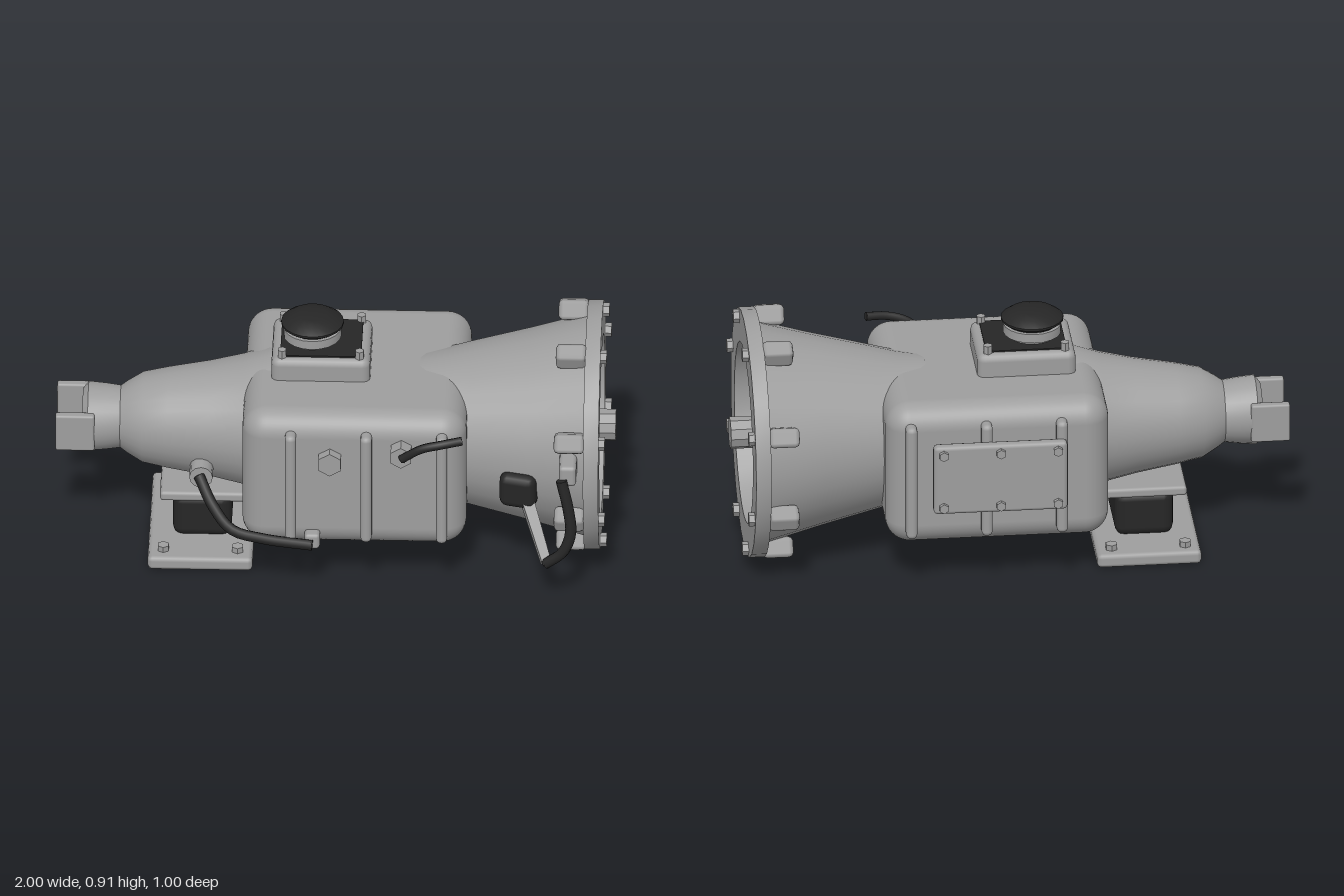
import * as THREE from 'three';
import { toCreasedNormals } from 'three/addons/utils/BufferGeometryUtils.js';
import { RoundedBoxGeometry } from 'three/addons/geometries/RoundedBoxGeometry.js';

export function createModel() {
  const root = new THREE.Group();
  root.name = 'gearbox';
  const metal = new THREE.MeshStandardMaterial({ color: 0x9e9e9e });
  metal.name = 'cast metal';
  const rubber = new THREE.MeshStandardMaterial({ color: 0x262626 });
  rubber.name = 'black rubber';
  const axisY = 0.463, axisZ = -0.01;
  const V = (p) => new THREE.Vector3(...p);

  function add(name, geo, mat = metal, pos = [0, 0, 0]) {
    const m = new THREE.Mesh(geo, mat);
    m.name = name;
    m.position.set(...pos);
    root.add(m);
    return m;
  }
  // Rounded block given by its min and max corners
  function block(name, a, b, r, mat = metal, seg = 1) {
    const s = a.map((v, i) => b[i] - v);
    return add(name, new RoundedBoxGeometry(...s, seg, r), mat, a.map((v, i) => (v + b[i]) / 2));
  }
  // Cylinder between two points
  function rod(name, a, b, r, sides, mat = metal, r2 = r) {
    const p = V(a), q = V(b), d = q.clone().sub(p);
    const geo = toCreasedNormals(new THREE.CylinderGeometry(r2, r, d.length(), sides), sides < 12 ? 0.4 : 0.7);
    const m = add(name, geo, mat, p.clone().add(q).multiplyScalar(0.5).toArray());
    m.quaternion.setFromUnitVectors(new THREE.Vector3(0, 1, 0), d.normalize());
    return m;
  }
  // Turned casting along the x axis, profile as [radius, x]
  function turned(name, pts) {
    const g = new THREE.LatheGeometry(pts.map((p) => new THREE.Vector2(...p)), 28);
    g.rotateZ(-Math.PI / 2);
    return add(name, toCreasedNormals(g, 0.6), metal, [0, axisY, axisZ]);
  }
  // Bent hose with closed ends
  function hose(name, pts, r) {
    const curve = new THREE.CatmullRomCurve3(pts.map(V), false, 'centripetal');
    add(name, new THREE.TubeGeometry(curve, 20, r, 8), rubber);
    [0, 1].forEach((t) => {
      const p = curve.getPoint(t), d = curve.getTangent(t).multiplyScalar(t ? 0.004 : -0.004);
      rod(name + 'End', p.toArray(), p.clone().add(d).toArray(), r, 8, rubber);
    });
  }

  // Main case, bell housing with recess, and tail housing
  block('case', [-0.325, 0.17, -0.415], [0.475, 0.715, 0.39], 0.088, metal, 5);
  turned('bellHousing', [[0.255, 0.3], [0.272, 0.4], [0.293, 0.48], [0.345, 0.69], [0.4, 0.895],
    [0.448, 0.895], [0.448, 0.95], [0.326, 0.95], [0.318, 0.78], [0, 0.78]]);
  turned('tailHousing', [[0, -0.905], [0.1, -0.905], [0.125, -0.885], [0.119, -0.82], [0.112, -0.77],
    [0.13, -0.745], [0.163, -0.69], [0.182, -0.6], [0.208, -0.45], [0.235, -0.33], [0.265, -0.24], [0.265, -0.2]]);
  rod('inputShaft', [0.77, axisY, axisZ], [1, axisY, axisZ], 0.058, 10);

  // Output yoke prongs
  [[-0.135, -0.1], [0.08, 0.115]].forEach(([z0, z1]) =>
    block('yokeProng', [-1, 0.39, z0], [-0.86, 0.535, z1], 0.008));

  // Flange bolts with bosses behind them
  for (let i = 0; i < 8; i++) {
    const t = (i + 0.5) * Math.PI / 4;
    const y = axisY + 0.416 * Math.cos(t), z = axisZ + 0.416 * Math.sin(t);
    rod('flangeBolt', [0.94, y, z], [0.972, y, z], 0.025, 6);
    const boss = block('flangeBoss', [0.79, y - 0.037, z - 0.035], [0.9, y + 0.037, z + 0.035], 0.016);
    boss.rotation.x = t;
  }

  // Case ribs, front and back
  [-0.15, 0.12, 0.39].forEach((x) => {
    block('frontRib', [x - 0.02, 0.22, 0.36], [x + 0.02, 0.66, 0.433], 0.018, metal, 2);
    block('backRib', [x - 0.02, 0.22, -0.455], [x + 0.02, 0.66, -0.38], 0.018, metal, 2);
  });

  // Bolted cover on the back
  block('sideCover', [-0.165, 0.33, -0.485], [0.315, 0.597, -0.44], 0.014);
  [-0.13, 0.075, 0.28].forEach((x) => [0.36, 0.567].forEach((y) =>
    rod('coverBolt', [x, y, -0.475], [x, y, -0.5], 0.018, 6)));

  // Shift tower with gasket, collar and cap
  block('shiftTower', [-0.228, 0.68, -0.17], [0.125, 0.8, 0.135], 0.028, metal, 2);
  add('towerGasket', new THREE.BoxGeometry(0.29, 0.008, 0.25), rubber, [-0.052, 0.801, -0.016]);
  [-0.19, 0.087].forEach((x) => [-0.138, 0.104].forEach((z) =>
    rod('towerBolt', [x, 0.79, z], [x, 0.828, z], 0.017, 6)));
  rod('collar', [-0.085, 0.8, -0.016], [-0.085, 0.825, -0.016], 0.085, 20);
  rod('collarRing', [-0.085, 0.818, -0.016], [-0.085, 0.852, -0.016], 0.104, 20);
  const cap = [[0, 0.845], [0.085, 0.848], [0.112, 0.868], [0.112, 0.876], [0.085, 0.895], [0.05, 0.905], [0, 0.906]];
  add('shiftCap', toCreasedNormals(new THREE.LatheGeometry(cap.map((p) => new THREE.Vector2(...p)), 20), 0.6),
    rubber, [-0.085, 0, -0.016]);

  // Rubber mount under the tail
  block('mountBase', [-0.665, 0, -0.305], [-0.29, 0.052, 0.285], 0.016);
  block('mountRubber', [-0.58, 0.045, -0.15], [-0.37, 0.22, 0.13], 0.035, rubber, 2);
  block('mountTopPlate', [-0.625, 0.213, -0.18], [-0.31, 0.25, 0.16], 0.012);
  [-0.61, -0.345].forEach((x) => [-0.25, 0.225].forEach((z) =>
    rod('mountBolt', [x, 0.04, z], [x, 0.073, z], 0.022, 6)));

  // Plugs
  rod('drainPlug', [0.078, 0.2, axisZ], [0.078, 0.13, axisZ], 0.042, 6);
  rod('fillPlug', [-0.01, 0.545, 0.36], [-0.01, 0.545, 0.428], 0.046, 6);
  rod('selectorBoss', [0.245, 0.59, 0.36], [0.245, 0.59, 0.445], 0.042, 6);

  // Selector lever
  hose('selectorLever', [[0.25, 0.593, 0.452], [0.32, 0.645, 0.468], [0.39, 0.665, 0.47], [0.46, 0.673, 0.455]], 0.016);

  // Breather hose from the tail to the case
  rod('hoseFitting', [-0.475, 0.37, 0.1], [-0.475, 0.37, 0.245], 0.042, 12);
  hose('breatherHose', [[-0.48, 0.375, 0.25], [-0.43, 0.305, 0.33], [-0.36, 0.25, 0.4],
    [-0.25, 0.23, 0.425], [-0.075, 0.215, 0.44]], 0.02);
  block('hoseClip', [-0.1, 0.19, 0.35], [-0.045, 0.25, 0.43], 0.012);

  // Release fork, boot and hose
  const boot = block('forkBoot', [0.6, 0.33, 0.25], [0.733, 0.462, 0.365], 0.03, rubber, 2);
  boot.rotation.y = -0.25;
  rod('releaseFork', [0.68, 0.39, 0.32], [0.765, 0.172, 0.462], 0.032, 4, metal, 0.024);
  hose('releaseHose', [[0.765, 0.175, 0.47], [0.825, 0.23, 0.482], [0.853, 0.31, 0.48],
    [0.845, 0.4, 0.472], [0.82, 0.515, 0.462]], 0.02);
  block('hoseBracket', [0.81, 0.49, 0.34], [0.872, 0.57, 0.46], 0.014);
  return root;
}
